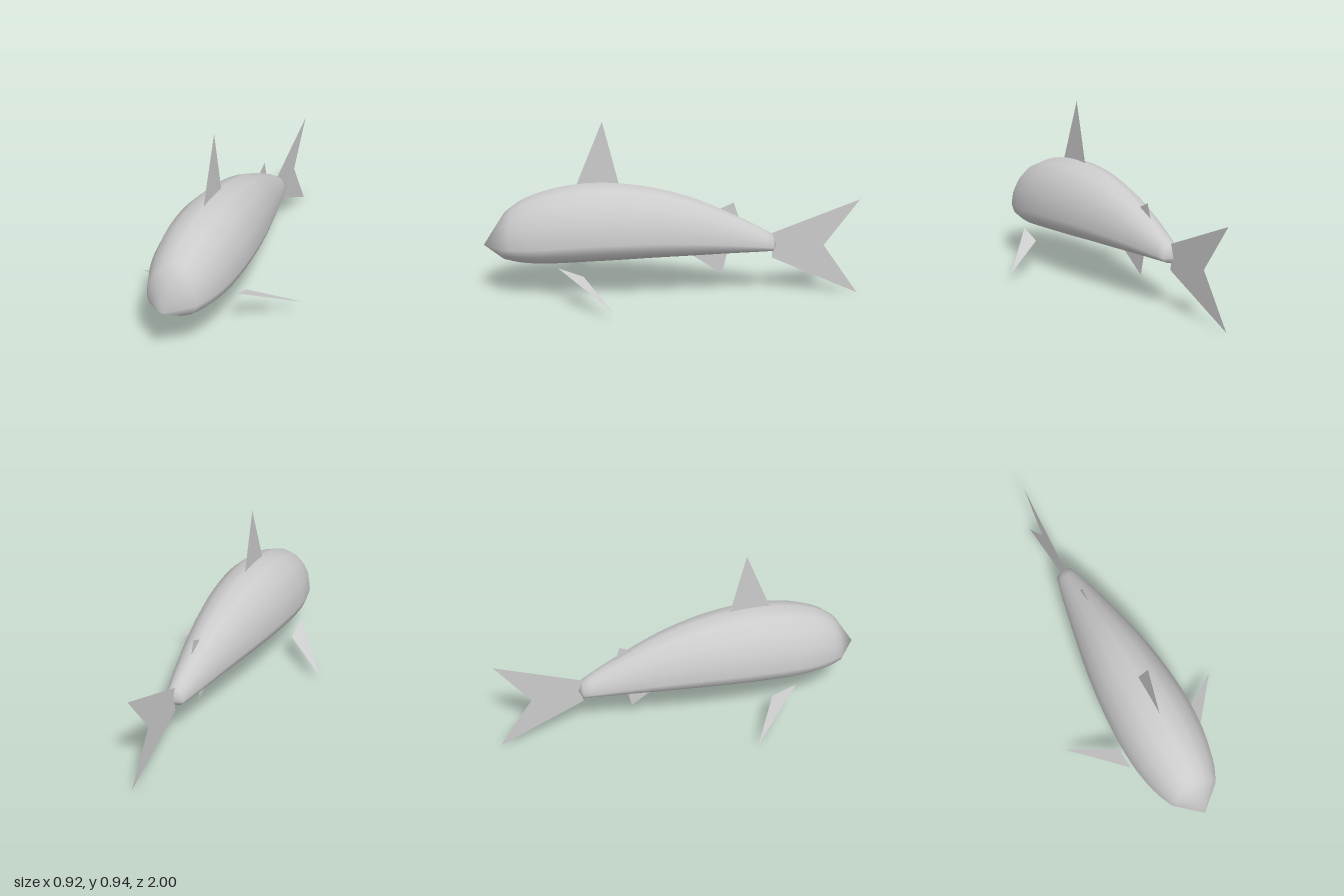
import * as THREE from 'three';

const skin = new THREE.MeshStandardMaterial({ color: 0xcccccc });
const finSkin = new THREE.MeshStandardMaterial({ color: 0xcccccc, side: THREE.DoubleSide });

// Body stations from nose to tail: z, top y, bottom y, half width
const STATIONS = [
  [0.885, 0.445, 0.195, 0.132],
  [0.8, 0.51, 0.18, 0.170],
  [0.7, 0.553, 0.175, 0.196],
  [0.6, 0.582, 0.178, 0.211],
  [0.45, 0.605, 0.187, 0.217],
  [0.3, 0.606, 0.195, 0.210],
  [0.1, 0.583, 0.207, 0.188],
  [-0.1, 0.532, 0.216, 0.152],
  [-0.3, 0.45, 0.226, 0.110],
  [-0.45, 0.378, 0.232, 0.076],
  [-0.545, 0.325, 0.236, 0.05],
];
const SIDES = 16;
const RINGS = 24;
const WAIST = 0.31; // height of the widest line within each section

// Smoothly interpolated station at t = 0 (nose) to 1 (tail)
function stationCurves() {
  const curve = k => new THREE.CatmullRomCurve3(
    STATIONS.map(s => new THREE.Vector3(s[k], 0, s[0])));
  const [top, bottom, width] = [1, 2, 3].map(curve);
  return t => ({
    z: top.getPoint(t).z, top: top.getPoint(t).x,
    bottom: bottom.getPoint(t).x, width: width.getPoint(t).x,
  });
}

function bodyGeometry() {
  const at = stationCurves();
  const pos = [], index = [];
  for (let i = 0; i < RINGS; i++) {
    const s = at(i / (RINGS - 1));
    const mid = s.bottom + WAIST * (s.top - s.bottom);
    for (let j = 0; j < SIDES; j++) {
      const a = (j / SIDES) * Math.PI * 2;
      const h = Math.sin(a) > 0 ? s.top - mid : mid - s.bottom;
      pos.push(s.width * Math.cos(a), mid + h * Math.sin(a), s.z);
    }
  }
  const nose = pos.length / 3;
  pos.push(0, 0.265, 1, 0, 0.265, -0.562);
  const last = (RINGS - 1) * SIDES;
  for (let j = 0; j < SIDES; j++) {
    const k = (j + 1) % SIDES;
    for (let i = 0; i < RINGS - 1; i++) {
      const a = i * SIDES + j, b = i * SIDES + k;
      index.push(a, a + SIDES, b, b, a + SIDES, b + SIDES);
    }
    index.push(nose, j, k, nose + 1, last + k, last + j);
  }
  const geo = new THREE.BufferGeometry();
  geo.setAttribute('position', new THREE.Float32BufferAttribute(pos, 3));
  geo.setIndex(index);
  geo.computeVertexNormals();
  return geo;
}

// Thin fin in the x = 0 plane from an outline of [z, y] points
function uprightFin(name, outline) {
  const shape = new THREE.Shape(outline.map(([z, y]) => new THREE.Vector2(-z, y)));
  const geo = new THREE.ShapeGeometry(shape).rotateY(Math.PI / 2);
  const mesh = new THREE.Mesh(geo, finSkin);
  mesh.name = name;
  return mesh;
}

// Swept, drooping side fin; side is +1 for left, -1 for right
function pectoralFin(name, side) {
  const corners = [[0.212, 0.203, 0.587], [0.458, 0.05, 0.29], [0.212, 0.157, 0.455]];
  if (side < 0) corners.reverse();
  const geo = new THREE.BufferGeometry().setFromPoints(
    corners.map(([x, y, z]) => new THREE.Vector3(side * x, y, z)));
  geo.computeVertexNormals();
  const mesh = new THREE.Mesh(geo, finSkin);
  mesh.name = name;
  return mesh;
}

export function createModel() {
  const model = new THREE.Group();
  model.name = 'fish';

  const body = new THREE.Mesh(bodyGeometry(), skin);
  body.name = 'body';
  model.add(body);

  // Fins along the centre line
  model.add(
    uprightFin('dorsalFin', [[0.5, 0.595], [0.36, 0.935], [0.275, 0.6]]),
    uprightFin('rearDorsalFin', [[-0.22, 0.447], [-0.332, 0.5], [-0.365, 0.405]]),
    uprightFin('analFin', [[-0.1, 0.217], [-0.273, 0.105], [-0.302, 0.228]]),
    uprightFin('tailFin', [[-0.54, 0.333], [-1, 0.518], [-0.815, 0.265], [-1, 0], [-0.54, 0.195]]),
  );

  // Paired side fins
  model.add(pectoralFin('leftPectoralFin', 1), pectoralFin('rightPectoralFin', -1));
  return model;
}
